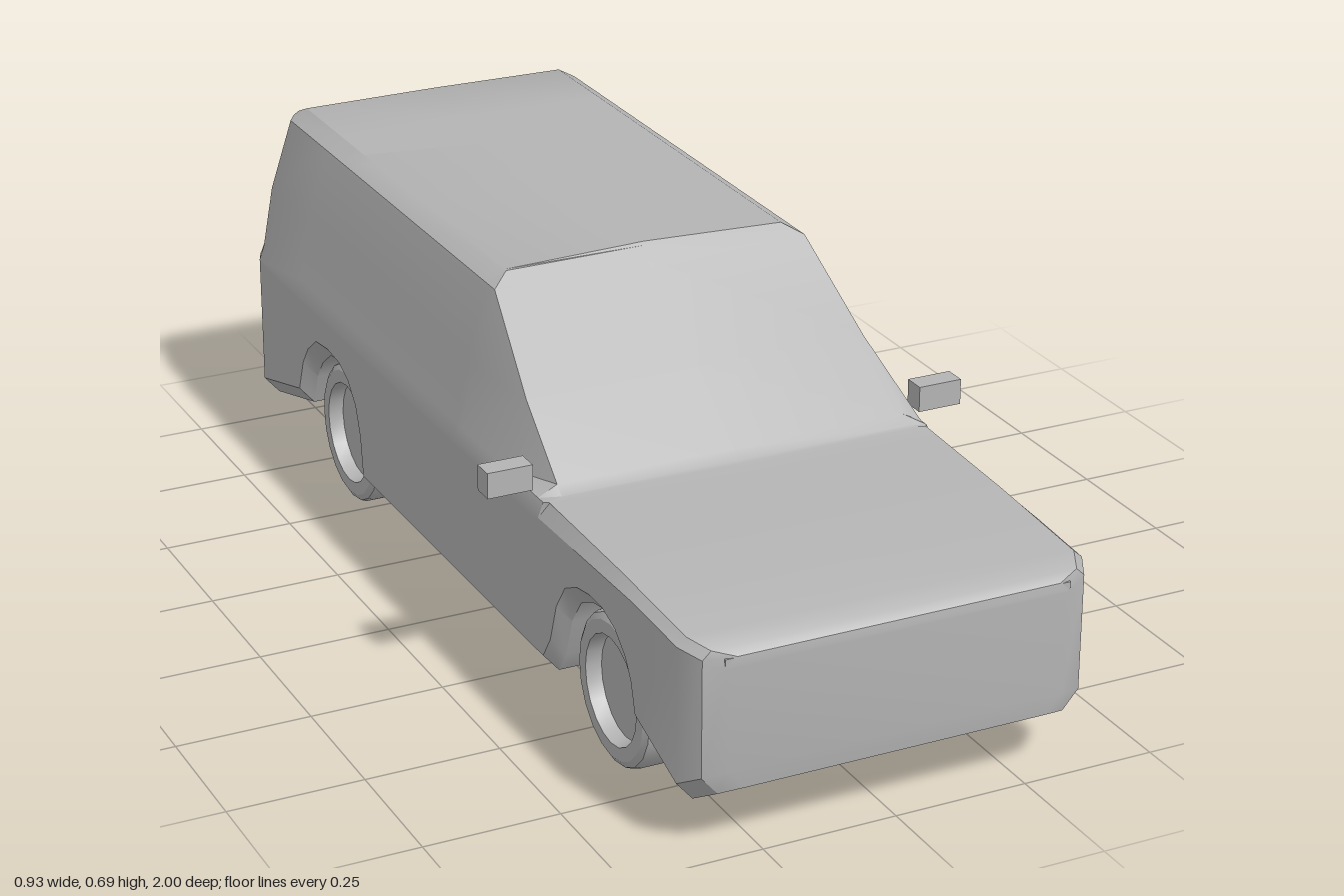
import * as THREE from 'three';
import { toCreasedNormals } from 'three/addons/utils/BufferGeometryUtils.js';

const paint = new THREE.MeshStandardMaterial({ color: 0xb4b4b4 });
paint.name = 'plain grey';

// Linear interpolation in a table of [key, value], keys falling
function sample(table, k) {
  if (k >= table[0][0]) return table[0][1];
  for (let i = 1; i < table.length; i++) {
    const [k0, v0] = table[i - 1], [k1, v1] = table[i];
    if (k >= k1) return v1 + (v0 - v1) * (k - k1) / (k0 - k1);
  }
  return table[table.length - 1][1];
}

// Underside height along z, including both wheel arches
const bottom = [
  [1, 0.125], [0.985, 0.116], [0.94, 0.09], [0.79, 0.145], [0.775, 0.2], [0.755, 0.235],
  [0.715, 0.27], [0.67, 0.287], [0.62, 0.29], [0.57, 0.282], [0.525, 0.26], [0.49, 0.21],
  [0.465, 0.135], [0.435, 0.09], [-0.39, 0.09], [-0.4, 0.17], [-0.42, 0.225], [-0.455, 0.263],
  [-0.5, 0.284], [-0.56, 0.29], [-0.62, 0.283], [-0.665, 0.25], [-0.695, 0.21], [-0.72, 0.145],
  [-0.92, 0.09], [-0.975, 0.098], [-1, 0.125],
];
// Height of bonnet, windscreen and roof along z
const top = [
  [1, 0.368], [0.985, 0.38], [0.94, 0.389], [0.7, 0.403], [0.43, 0.412], [0.42, 0.414], [0.26, 0.53],
  [0.075, 0.665], [0.047, 0.685], [0.04, 0.69], [-0.4, 0.69], [-0.92, 0.685], [-0.975, 0.672], [-1, 0.65],
];
// Half width along z, rounding the ends
const width = [
  [1, 0.315], [0.985, 0.357], [0.94, 0.38], [0.4, 0.387], [-0.92, 0.387], [-0.975, 0.365], [-1, 0.325],
];
// Limit on half width above the belt, pulling in the windscreen pillars
const pillar = [[1, 0.37], [0.43, 0.37], [0.42, 0.342], [0.26, 0.334], [0.075, 0.356], [0.04, 0.36], [-1, 0.36]];
// Half width by height above the belt
const flank = [[0.69, 0.27], [0.685, 0.275], [0.665, 0.31], [0.53, 0.355], [0.41, 0.377], [0.385, 0.387]];

// Right half of a cross-section, from underside to roof centre
function section(z) {
  const w = sample(width, z), t = sample(top, z), b = sample(bottom, z);
  const pts = [[w - 0.03, b], [w, b + 0.035], [w, Math.min(0.373, t - 0.02)], [w, Math.min(0.383, t - 0.015)]];
  for (const level of [0.41, 0.53, 0.665, 0.685]) {
    const y = Math.min(level, t);
    let x = sample(flank, y);
    if (level > 0.42 || t < 0.413) x = Math.min(x, sample(pillar, z));
    pts.push([x * w / 0.387, y]);
  }
  pts.push([0, t + (t > 0.68 ? 0.002 : 0)]);
  // Lean the tailgate forward above its ledge
  return pts.map(([x, y]) => {
    const lean = y < 0.378 ? 1 : sample([[0.65, 0.52], [0.38, 0.83]], y);
    return new THREE.Vector3(x, y, z < -0.92 ? -0.92 + (z + 0.92) * lean : z);
  });
}

function bodyGeometry() {
  const stations = [...new Set([bottom, top, width, pillar].flatMap(t => t.map(p => p[0])))].sort((a, b) => b - a);
  const flip = p => new THREE.Vector3(-p.x, p.y, p.z);
  const halves = stations.map(section);
  const loops = halves.map(h => [...h, ...h.slice(0, -1).reverse().map(flip)]);
  const pos = [];
  const tri = (a, b, c) => {
    const area = b.clone().sub(a).cross(c.clone().sub(a)).length();
    if (area > 1e-8) for (const p of [a, b, c]) pos.push(p.x, p.y, p.z);
  };
  const quad = (a, b, c, d) => { tri(a, b, c); tri(a, c, d); };
  // Skin
  for (let i = 0; i < loops.length - 1; i++) {
    const A = loops[i], B = loops[i + 1], n = A.length;
    for (let j = 0; j < n; j++) {
      const k = (j + 1) % n;
      quad(A[j], B[j], B[k], A[k]);
    }
  }
  // Nose and tail faces
  const nose = halves[0], tail = halves[halves.length - 1];
  for (let j = 0; j < nose.length - 1; j++) {
    quad(nose[j], nose[j + 1], flip(nose[j + 1]), flip(nose[j]));
    quad(flip(tail[j]), flip(tail[j + 1]), tail[j + 1], tail[j]);
  }
  const g = new THREE.BufferGeometry();
  g.setAttribute('position', new THREE.Float32BufferAttribute(pos, 3));
  return toCreasedNormals(g, 0.5);
}

// Wheel turned about its axle, with a recessed disc on the outer side
function wheelGeometry() {
  const profile = [
    [0, -0.04], [0.125, -0.04], [0.136, -0.033], [0.14, -0.022], [0.14, 0.022],
    [0.136, 0.033], [0.125, 0.04], [0.1, 0.04], [0.095, 0.012], [0, 0.012],
  ].map(([r, y]) => new THREE.Vector2(r, y));
  const g = new THREE.LatheGeometry(profile, 20).toNonIndexed();
  return toCreasedNormals(g, 0.5).rotateZ(-Math.PI / 2);
}

export function createModel() {
  const model = new THREE.Group();
  model.name = 'van';
  const add = (name, geometry, x = 0, y = 0, z = 0) => {
    const mesh = new THREE.Mesh(geometry, paint);
    mesh.name = name;
    mesh.position.set(x, y, z);
    model.add(mesh);
    return mesh;
  };

  add('body', bodyGeometry());

  const wheel = wheelGeometry();
  const mirror = new THREE.BoxGeometry(0.085, 0.048, 0.042);
  const lamp = new THREE.BoxGeometry(0.135, 0.012, 0.009);
  for (const [side, s] of [['left', 1], ['right', -1]]) {
    for (const [end, z] of [['Front', 0.63], ['Rear', -0.56]]) {
      const w = add(side + end + 'Wheel', wheel, s * 0.31, 0.141, z);
      if (s < 0) w.rotation.y = Math.PI;
    }
    add(side + 'Mirror', mirror, s * 0.423, 0.444, 0.366);
    add(side + 'HeadlightStrip', lamp, s * 0.255, 0.36, 0.9945);
  }

  // Strip along the tailgate ledge
  add('tailgateStrip', new THREE.BoxGeometry(0.6, 0.009, 0.009), 0, 0.38, -0.991);
  return model;
}
